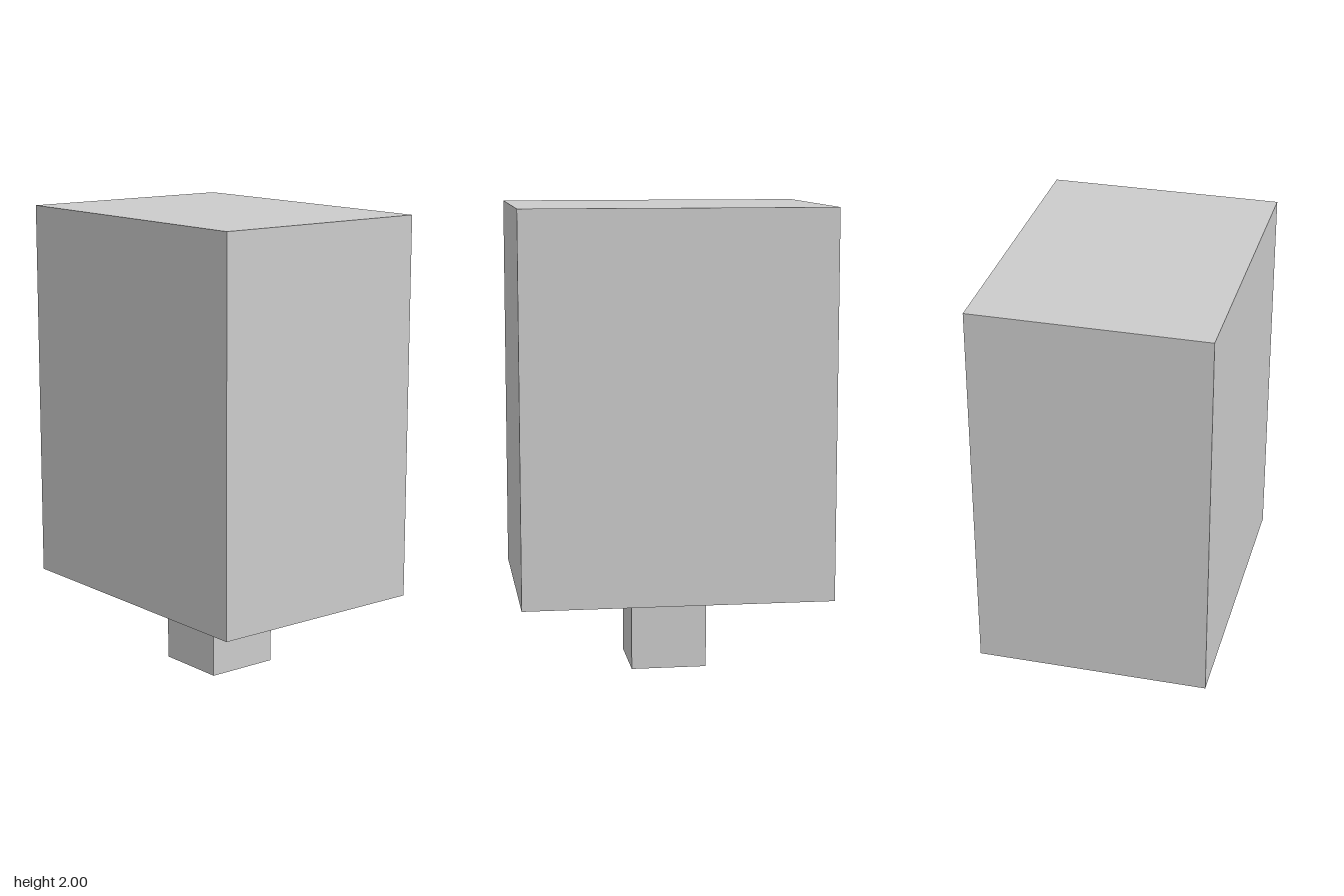
import * as THREE from 'three';

const material = new THREE.MeshStandardMaterial({ color: 0xcccccc, flatShading: true });

// Box standing on height y, centred on x and z
function block(name, width, height, depth, y) {
  const mesh = new THREE.Mesh(new THREE.BoxGeometry(width, height, depth), material);
  mesh.name = name;
  mesh.position.y = y + height / 2;
  return mesh;
}

export function createModel() {
  const group = new THREE.Group();
  group.name = 'blockOnPost';
  const postHeight = 0.357;

  // Short square post carrying the large block
  group.add(block('post', 0.325, postHeight, 0.325, 0));
  group.add(block('body', 0.987, 2 - postHeight, 1.314, postHeight));
  return group;
}
